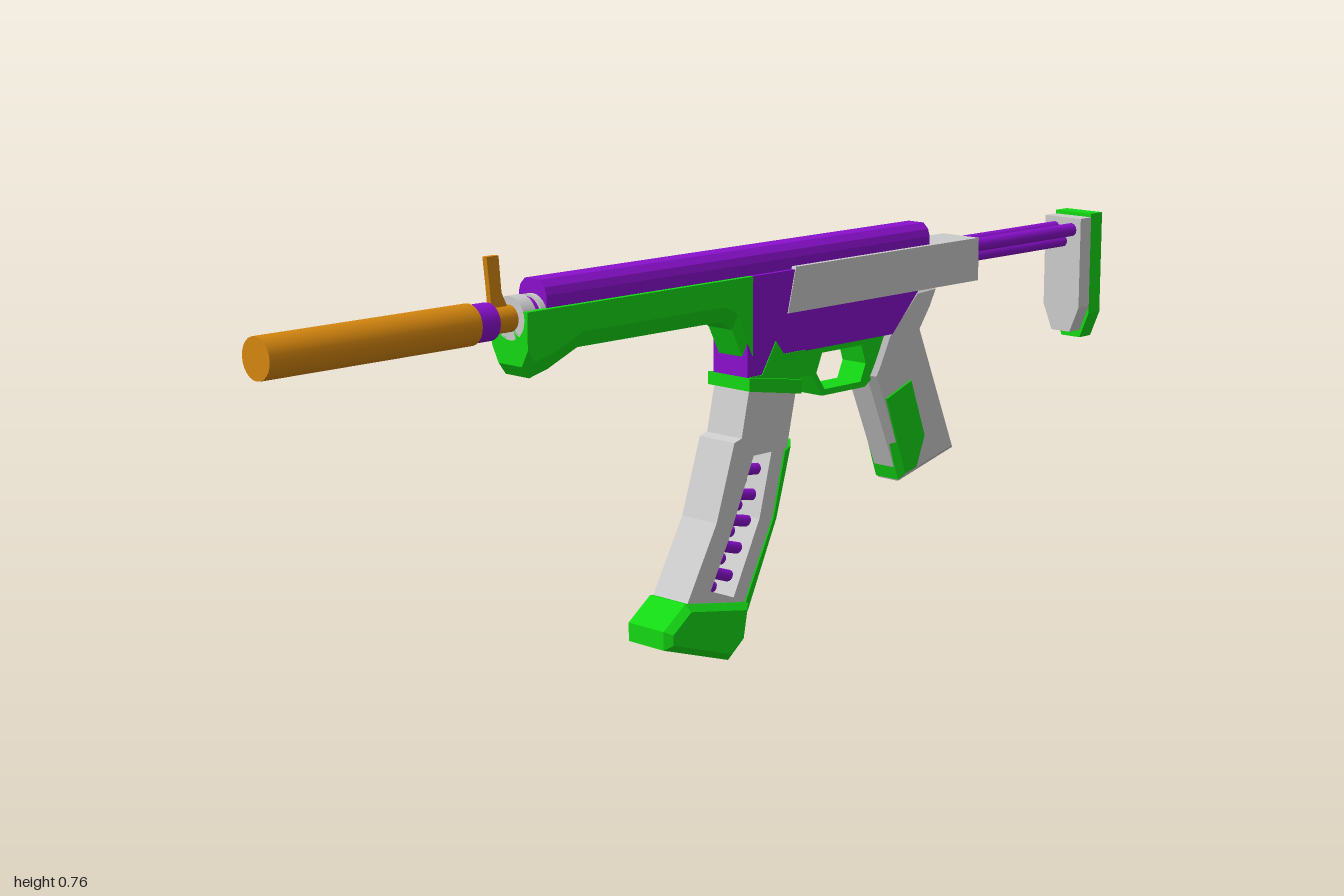
import * as THREE from 'three';

const mat = (color) => new THREE.MeshStandardMaterial({ color });
const grey = mat(0xcccccc), green = mat(0x14d814), purple = mat(0x8a10cc), orange = mat(0xd4860f);
const toShape = (pts) => new THREE.Shape(pts.map(([a, b]) => new THREE.Vector2(a, b)));

export function createModel() {
  const root = new THREE.Group();

  const add = (name, geometry, material, parent = root) => {
    const mesh = new THREE.Mesh(geometry, material);
    mesh.name = name;
    parent.add(mesh);
    return mesh;
  };

  // Side outline in (z, y), extruded to half width w, with optional chamfer and hole
  const side = (name, material, pts, w, bevel = 0, hole = null) => {
    const shape = toShape(pts);
    if (hole) shape.holes.push(toShape(hole));
    const depth = 2 * (w - bevel);
    const geo = new THREE.ExtrudeGeometry(shape, {
      depth, bevelEnabled: bevel > 0, bevelSegments: 1,
      bevelThickness: bevel, bevelSize: bevel, bevelOffset: -bevel,
    });
    geo.translate(0, 0, -depth / 2).rotateY(-Math.PI / 2);
    return add(name, geo, material);
  };

  // Front outline in (x, y), extruded from z0 to z1
  const alongZ = (name, material, pts, z0, z1) => {
    const geo = new THREE.ExtrudeGeometry(toShape(pts), { depth: z1 - z0, bevelEnabled: false });
    return add(name, geo.translate(0, 0, z0), material);
  };

  // Round rod along z
  const rod = (name, material, r, z0, z1, y = 0.656, x = 0, sides = 24) => {
    const geo = new THREE.CylinderGeometry(r, r, z1 - z0, sides).rotateX(Math.PI / 2);
    return add(name, geo.translate(x, y, (z0 + z1) / 2), material);
  };

  // Barrel group, from muzzle backwards
  rod('suppressor', orange, 0.034, 0.59, 1);
  rod('suppressorRing', purple, 0.031, 0.55, 0.59);
  rod('barrel', orange, 0.022, 0.4, 0.56);
  rod('barrelCollar', grey, 0.036, 0.478, 0.505);
  rod('collarGroove', purple, 0.031, 0.465, 0.478);
  rod('collarBase', grey, 0.035, 0.44, 0.466);
  side('frontSight', orange,
    [[0.555, 0.76], [0.55, 0.715], [0.545, 0.66], [0.505, 0.66], [0.525, 0.7], [0.53, 0.76]], 0.005);

  // Rounded top cover
  alongZ('topCover', purple, [
    [-0.033, 0.65], [0.033, 0.65], [0.033, 0.69], [0.029, 0.703], [0.018, 0.714],
    [-0.018, 0.714], [-0.029, 0.703], [-0.033, 0.69],
  ], -0.49, 0.455);

  // Handguard: chamfered trough lofted through stations of [z, underside y]
  const stations = [[0.505, 0.58], [0.49, 0.56], [0.45, 0.57], [0.385, 0.597],
    [0.055, 0.597], [0.025, 0.58], [0, 0.53], [-0.012, 0.505]];
  const section = ([z, b]) => [[0.043, 0.67], [0.043, b + 0.028], [0.028, b],
    [-0.028, b], [-0.043, b + 0.028], [-0.043, 0.67]].map(([x, y]) => [x, y, z]);
  const tri = [];
  const rings = stations.map(section);
  const n = rings[0].length;
  for (let i = 0; i < rings.length - 1; i++) {
    for (let j = 0; j < n; j++) {
      const k = (j + 1) % n, A = rings[i], B = rings[i + 1];
      tri.push(A[j], A[k], B[j], A[k], B[k], B[j]);
    }
  }
  for (let j = 1; j < n - 1; j++) {
    const F = rings[0], R = rings[rings.length - 1];
    tri.push(F[0], F[j + 1], F[j], R[0], R[j], R[j + 1]);
  }
  const guard = new THREE.BufferGeometry();
  guard.setAttribute('position', new THREE.Float32BufferAttribute(tri.flat(), 3));
  guard.computeVertexNormals();
  add('handguard', guard, green);

  // Receiver
  side('lowerReceiver', purple, [[0, 0.67], [0, 0.49], [-0.04, 0.49], [-0.1, 0.523],
    [-0.38, 0.523], [-0.455, 0.6], [-0.455, 0.67]], 0.0415);
  side('upperReceiver', grey, [[-0.12, 0.675], [-0.1, 0.595], [-0.62, 0.595], [-0.62, 0.675]], 0.043);

  // Magazine well
  side('magazineWell', green, [[-0.005, 0.495], [-0.035, 0.495], [-0.07, 0.55],
    [-0.09, 0.525], [-0.145, 0.525], [-0.125, 0.46], [-0.005, 0.475]], 0.043);
  side('magazineWellCollar', green,
    [[0.004, 0.495], [-0.13, 0.475], [-0.127, 0.45], [0.004, 0.472]], 0.05);

  // Trigger guard
  side('triggerGuard', green,
    [[-0.125, 0.528], [-0.375, 0.528], [-0.34, 0.445], [-0.32, 0.432], [-0.205, 0.432],
      [-0.18, 0.472], [-0.125, 0.478]], 0.028, 0,
    [[-0.205, 0.51], [-0.31, 0.51], [-0.322, 0.475], [-0.308, 0.443], [-0.212, 0.443], [-0.19, 0.475]]);

  // Pistol grip and its front panel
  side('grip', grey, [[-0.37, 0.525], [-0.45, 0.6], [-0.52, 0.6], [-0.5, 0.555], [-0.475, 0.52],
    [-0.575, 0.28], [-0.42, 0.24], [-0.33, 0.45], [-0.345, 0.475]], 0.036, 0.012);
  side('gripPanel', green,
    [[-0.357, 0.41], [-0.445, 0.442], [-0.49, 0.32], [-0.465, 0.255], [-0.417, 0.243]], 0.038, 0.011);

  // Curved magazine with a window on both sides
  side('magazine', grey,
    [[-0.005, 0.48], [0.015, 0.39], [0.033, 0.385], [0.077, 0.25], [0.16, 0.1], [0.01, 0.075],
      [-0.07, 0.235], [-0.1, 0.36], [-0.125, 0.47]], 0.042, 0,
    [[-0.015, 0.355], [-0.06, 0.355], [-0.03, 0.24], [0.035, 0.11], [0.092, 0.132], [0.045, 0.22]]);
  side('magazineSpine', green, [[-0.117, 0.368], [-0.085, 0.36], [-0.055, 0.24], [0.025, 0.08],
    [-0.005, 0.07], [-0.08, 0.23]], 0.044, 0.01);
  side('magazineBase', green, [[0.155, 0.122], [0.207, 0.083], [0.207, 0.05], [0.05, 0],
    [0.012, 0.03], [0, 0.095]], 0.055, 0.012);

  // Staggered rounds following the curve of the window
  const stack = new THREE.QuadraticBezierCurve3(
    new THREE.Vector3(0, 0.345, -0.04), new THREE.Vector3(0, 0.24, -0.005), new THREE.Vector3(0, 0.128, 0.06));
  const rounds = 11;
  for (let i = 0; i < rounds; i++) {
    const t = i / (rounds - 1);
    const round = new THREE.Group();
    round.name = 'round';
    const casing = new THREE.CylinderGeometry(0.0105, 0.0105, 0.056, 12).rotateX(Math.PI / 2);
    const tip = new THREE.CylinderGeometry(0.003, 0.0095, 0.026, 12).rotateX(Math.PI / 2);
    add('casing', casing.translate(0, 0, -0.012), purple, round);
    add('tip', tip.translate(0, 0, 0.029), orange, round);
    round.position.copy(stack.getPoint(t));
    round.position.x = i % 2 ? 0.014 : -0.014;
    round.rotation.x = -0.1 - 0.25 * t;
    root.add(round);
  }

  // Stock rods and butt plate
  for (const s of [-1, 1]) rod('stockRod', purple, 0.013, -0.94, -0.6, 0.657, 0.02 * s, 12);
  rod('lowerStockRod', purple, 0.011, -0.94, -0.6, 0.633, 0, 12);
  const butt = (top, low, h) => [[-0.043, top], [-0.043, low + h], [-0.022, low],
    [0.022, low], [0.043, low + h], [0.043, top]];
  alongZ('stockFront', grey, butt(0.68, 0.455, 0.05), -0.965, -0.932);
  alongZ('buttPlate', green, butt(0.687, 0.44, 0.05), -1, -0.965);

  return root;
}
